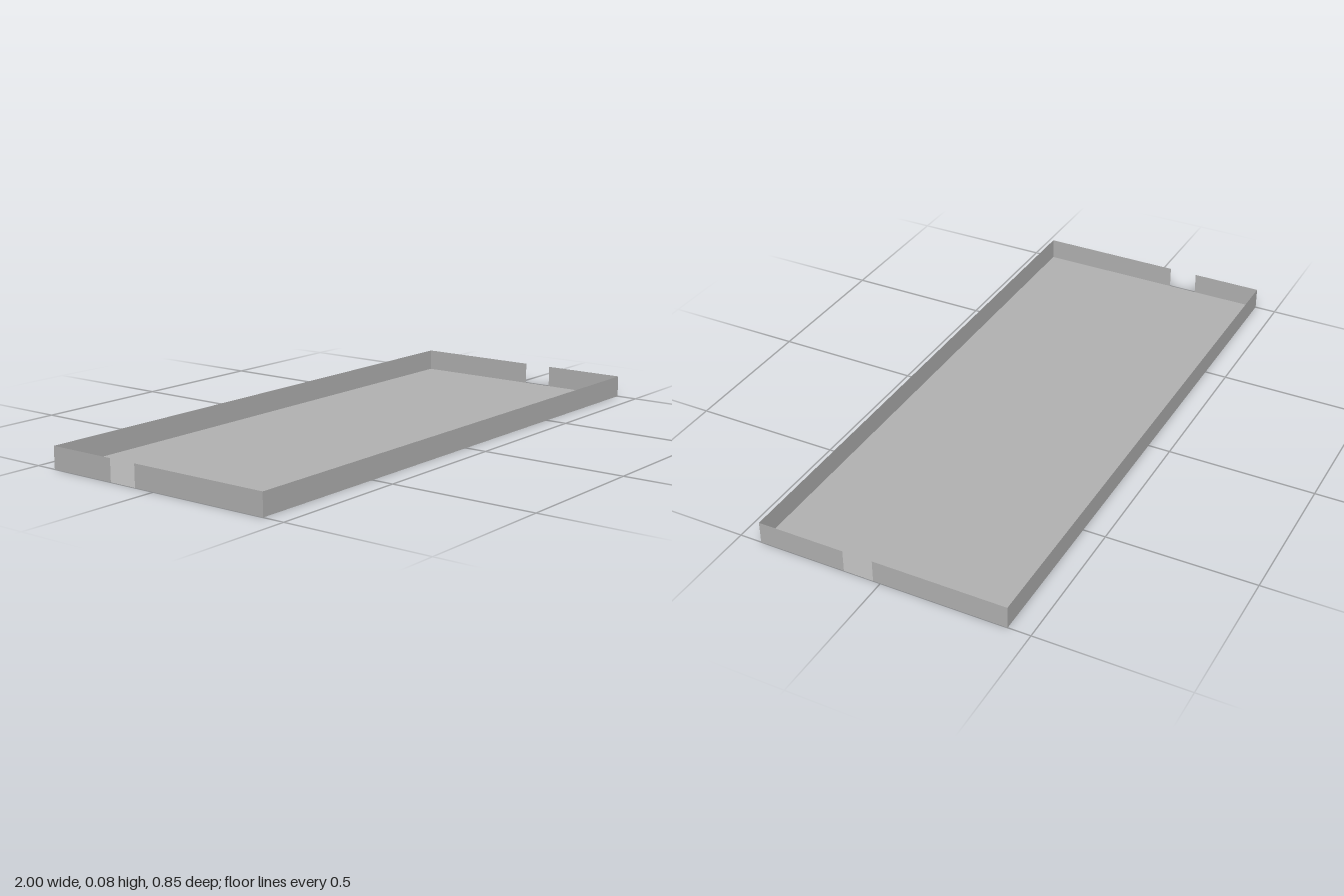
import * as THREE from 'three';

const HALF_X = 1, HALF_Z = 0.425, HEIGHT = 0.075;

export function createModel() {
  const tray = new THREE.Group();
  tray.name = 'tray';

  const grey = new THREE.MeshStandardMaterial({ color: 0xb2b2b2, side: THREE.DoubleSide });
  grey.name = 'plain grey';

  const addSheet = (name, width, height, position, rotation) => {
    const mesh = new THREE.Mesh(new THREE.PlaneGeometry(width, height), grey);
    mesh.name = name;
    mesh.position.set(...position);
    mesh.rotation.set(...rotation);
    tray.add(mesh);
  };

  // Flat floor
  addSheet('floor', 2 * HALF_X, 2 * HALF_Z, [0, 0, 0], [-Math.PI / 2, 0, 0]);

  // Long walls, facing outwards
  addSheet('frontWall', 2 * HALF_X, HEIGHT, [0, HEIGHT / 2, HALF_Z], [0, 0, 0]);
  addSheet('backWall', 2 * HALF_X, HEIGHT, [0, HEIGHT / 2, -HALF_Z], [0, Math.PI, 0]);

  // End walls, each split by an off-centre gap down to the floor
  const ends = [
    { name: 'leftWall', side: 1, gap: [0.025, 0.127] },
    { name: 'rightWall', side: -1, gap: [-0.178, -0.076] },
  ];
  for (const { name, side, gap } of ends) {
    const pieces = { Back: [-HALF_Z, gap[0]], Front: [gap[1], HALF_Z] };
    for (const [part, [from, to]] of Object.entries(pieces)) {
      addSheet(name + part, to - from, HEIGHT,
        [side * HALF_X, HEIGHT / 2, (from + to) / 2], [0, side * Math.PI / 2, 0]);
    }
  }
  return tray;
}
